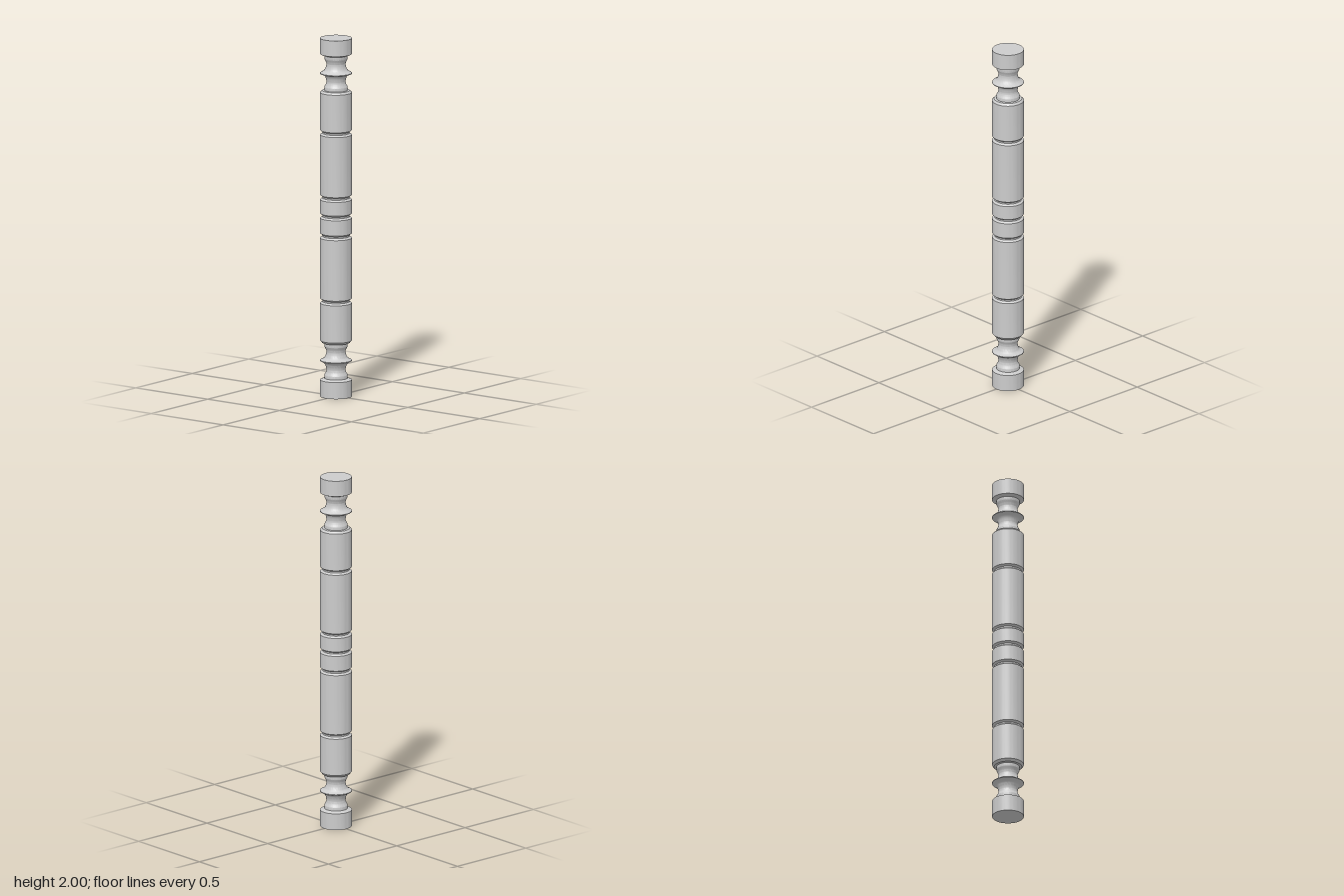
import * as THREE from 'three';
import { toCreasedNormals } from 'three/addons/utils/BufferGeometryUtils.js';

const R = 0.087;        // full radius
const COLLAR = 0.064;   // radius where the necks meet the blocks
const WAIST = 0.053;    // narrowest radius of the necks

const material = new THREE.MeshStandardMaterial({ color: 0xcccccc });

// Turned part from [radius, height] pairs listed bottom to top
function turned(name, profile) {
  const points = profile.map(([r, y]) => new THREE.Vector2(r, y));
  const mesh = new THREE.Mesh(toCreasedNormals(new THREE.LatheGeometry(points, 64), 0.5), material);
  mesh.name = name;
  return mesh;
}

// Smooth concave profile through a few points
function cove(points) {
  const curve = new THREE.SplineCurve(points.map(([r, y]) => new THREE.Vector2(r, y)));
  return curve.getPoints(14).map((p) => [p.x, p.y]);
}

// Two coves meeting at a sharp central ring, with a short collar at each end
function neck(name, bottom, ring, top) {
  const lower = cove([[COLLAR, bottom + 0.018], [WAIST + 0.002, bottom + 0.036], [WAIST, bottom + 0.052],
    [0.062, bottom + 0.08], [R, ring - 0.002]]);
  const upper = cove([[R, ring + 0.002], [0.062, top - 0.08], [WAIST, top - 0.052],
    [WAIST + 0.002, top - 0.036], [COLLAR, top - 0.018]]);
  return turned(name, [[COLLAR, bottom], ...lower, ...upper, [COLLAR, top]]);
}

export function createModel() {
  const group = new THREE.Group();
  group.name = 'turnedPost';

  // End caps
  group.add(turned('baseCap', [[0, 0], [R, 0], [R, 0.093], [COLLAR, 0.102]]));
  group.add(turned('topCap', [[COLLAR, 1.903], [R, 1.912], [R, 2], [0, 2]]));

  // Necks
  group.add(neck('lowerNeck', 0.102, 0.201, 0.298));
  group.add(neck('upperNeck', 1.710, 1.804, 1.903));

  // Shaft with bevelled grooves
  const shaft = [[COLLAR, 0.298], [0.076, 0.3], [R, 0.313]];
  for (const y of [0.534, 0.898, 1.009, 1.112, 1.474]) {
    shaft.push([R, y - 0.013], [0.075, y - 0.004], [0.075, y + 0.004], [R, y + 0.013]);
  }
  shaft.push([R, 1.697], [0.076, 1.708], [COLLAR, 1.71]);
  group.add(turned('shaft', shaft));

  return group;
}
